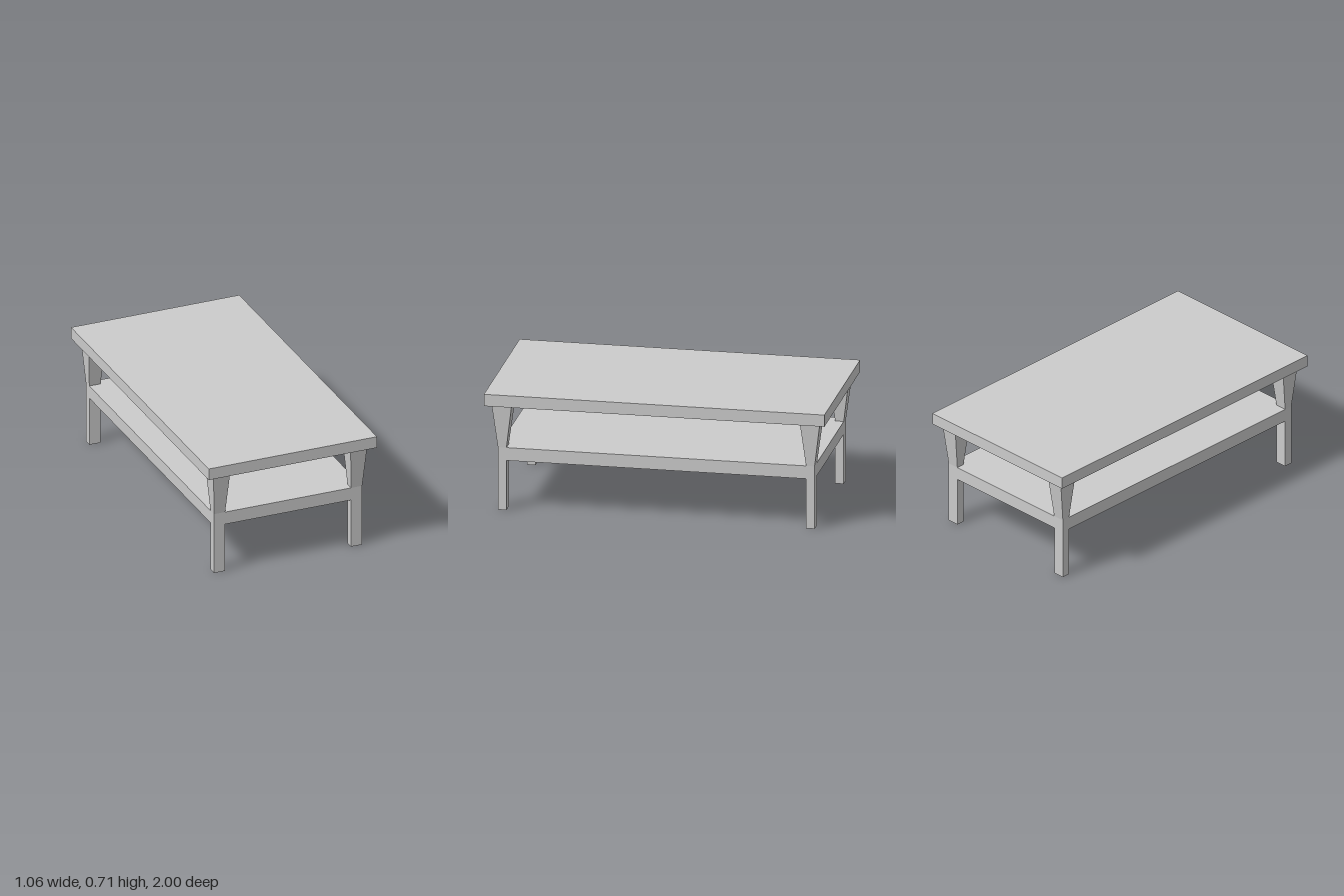
import * as THREE from 'three';

const LEG_X = 0.43, LEG_Z = 0.905;    // leg centres
const LEG_W = 0.07, LEG_D = 0.05;     // straight lower section
const FLARE_W = 0.104, FLARE_D = 0.118; // widened section under the top
const SHELF_Y = 0.3, SHELF_TOP = 0.378, TOP_Y = 0.642, HEIGHT = 0.713;

// Straight post that flares out from the shelf to the tabletop
function legGeometry() {
  const geo = new THREE.BoxGeometry(1, 2, 1, 1, 2, 1);
  const p = geo.attributes.position;
  for (let i = 0; i < p.count; i++) {
    const level = Math.round(p.getY(i)) + 1; // 0 foot, 1 shelf, 2 top
    const flared = level === 2;
    p.setXYZ(i,
      p.getX(i) * (flared ? FLARE_W : LEG_W),
      [0, SHELF_TOP, TOP_Y][level],
      p.getZ(i) * (flared ? FLARE_D : LEG_D));
  }
  const flat = geo.toNonIndexed();
  flat.computeVertexNormals();
  return flat;
}

// Shelf panel flush with the legs, its corners notched around them
function shelfGeometry() {
  const xo = LEG_X + LEG_W / 2, xi = LEG_X - LEG_W / 2;
  const zo = LEG_Z + LEG_D / 2, zi = LEG_Z - LEG_D / 2;
  const outline = [
    [xo, -zi], [xo, zi], [xi, zi], [xi, zo], [-xi, zo], [-xi, zi],
    [-xo, zi], [-xo, -zi], [-xi, -zi], [-xi, -zo], [xi, -zo], [xi, -zi],
  ].map(([x, z]) => new THREE.Vector2(x, z));
  const geo = new THREE.ExtrudeGeometry(new THREE.Shape(outline), {
    depth: SHELF_TOP - SHELF_Y, bevelEnabled: false,
  });
  return geo.rotateX(-Math.PI / 2).translate(0, SHELF_Y, 0);
}

export function createModel() {
  const table = new THREE.Group();
  table.name = 'coffeeTable';
  const material = new THREE.MeshStandardMaterial({ color: 0xcccccc, flatShading: true });

  const add = (name, geometry) => {
    const mesh = new THREE.Mesh(geometry, material);
    mesh.name = name;
    table.add(mesh);
    return mesh;
  };

  // Tabletop
  add('tabletop', new THREE.BoxGeometry(1.056, HEIGHT - TOP_Y, 2))
    .position.y = (HEIGHT + TOP_Y) / 2;

  // Lower shelf
  add('shelf', shelfGeometry());

  // Four legs
  const leg = legGeometry();
  for (const [end, sz] of [['front', 1], ['back', -1]]) {
    for (const [side, sx] of [['Left', 1], ['Right', -1]]) {
      add(`${end}${side}Leg`, leg).position.set(sx * LEG_X, 0, sz * LEG_Z);
    }
  }
  return table;
}
